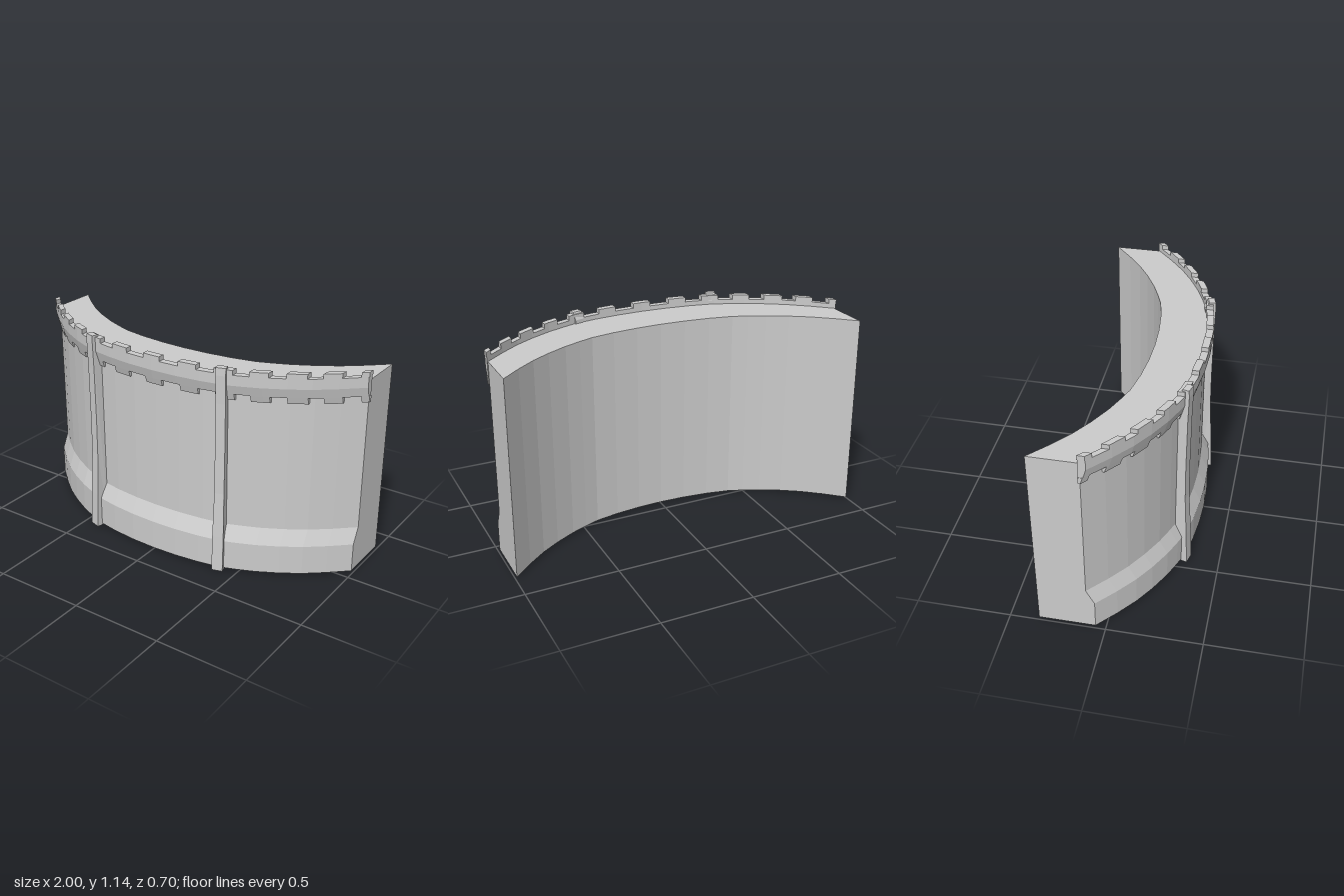
import * as THREE from 'three';

// Plan curve shared by all swept parts: how far z falls back at |x|
const CURVE = [[0, 0], [0.14, 0.005], [0.28, 0.02], [0.41, 0.045], [0.49, 0.075], [0.58, 0.113],
  [0.69, 0.172], [0.79, 0.236], [0.89, 0.316], [1, 0.415]];

function drop(x) {
  const a = Math.abs(x);
  const i = Math.max(1, CURVE.findIndex(([cx]) => cx >= a - 1e-9));
  const [[x0, d0], [x1, d1]] = [CURVE[i - 1], CURVE[i]];
  return d0 + (d1 - d0) * (a - x0) / (x1 - x0);
}

const material = new THREE.MeshStandardMaterial({ color: 0xcccccc, flatShading: true });

function profileShape(points) {
  return new THREE.Shape(points.map(([z, y]) => new THREE.Vector2(z, y)));
}

// Sweep a (z, y) profile along the plan curve from x0 to x1
function sweep(name, points, x0, x1) {
  const kinks = CURVE.flatMap(([x]) => (x ? [-x, x] : [0]));
  const stations = [x0, ...kinks.filter((x) => x > x0 + 1e-4 && x < x1 - 1e-4).sort((a, b) => a - b), x1];
  const steps = stations.length - 1;
  const geo = new THREE.ExtrudeGeometry(profileShape(points), { depth: 1, steps, bevelEnabled: false });
  geo.rotateY(-Math.PI / 2);
  const pos = geo.attributes.position;
  for (let i = 0; i < pos.count; i++) {
    const x = stations[Math.round((1 + pos.getX(i)) * steps)];
    pos.setX(i, x);
    pos.setZ(i, pos.getZ(i) - drop(x));
  }
  geo.computeVertexNormals();
  const mesh = new THREE.Mesh(geo, material);
  mesh.name = name;
  return mesh;
}

// Upright rib, its depth flaring at the foot, set square to the curve
function buttress(x) {
  const width = 0.052;
  const profile = [[-0.05, 0], [0.024, 0], [0.016, 0.2], [0.002, 0.45], [0, 0.65], [0.002, 0.95],
    [0.006, 1.1], [0.004, 1.14], [-0.03, 1.14], [-0.05, 1.1]];
  const geo = new THREE.ExtrudeGeometry(profileShape(profile), { depth: width, bevelEnabled: false });
  geo.rotateY(-Math.PI / 2);
  geo.translate(width / 2, 0, 0);
  // wider at the foot
  const pos = geo.attributes.position;
  for (let i = 0; i < pos.count; i++) {
    if (pos.getY(i) < 0.21) pos.setX(i, pos.getX(i) * 1.15);
  }
  geo.computeVertexNormals();
  const mesh = new THREE.Mesh(geo, material);
  mesh.name = 'buttress';
  mesh.position.set(x, 0, 0.312);
  mesh.rotation.y = Math.sign(x) * 0.27;
  return mesh;
}

export function createModel() {
  const model = new THREE.Group();
  model.name = 'curvedCastleWall';

  // Wall with sloped plinth
  model.add(sweep('wall', [[0.06, 0.01], [0.355, 0.01], [0.355, 0.172], [0.312, 0.255],
    [0.312, 1.08], [0.06, 1.08]], -0.992, 0.992));

  // Parapet band, its underside leaning out from the wall
  model.add(sweep('parapet', [[0.31, 1.0], [0.333, 1.0], [0.348, 1.05], [0.348, 1.105],
    [0.31, 1.105]], -0.998, 0.998));

  // Merlons above and corbels below, closing up towards the ends
  const teeth = new THREE.Group();
  teeth.name = 'battlements';
  const centres = [[0, 0.05], [0.21, 0.05], [0.4, 0.047], [0.565, 0.043], [0.725, 0.043], [0.865, 0.036], [0.985, 0.015]];
  for (const [c, half] of centres) {
    for (const side of c ? [-1, 1] : [1]) {
      const x0 = side * c - half, x1 = side * c + half;
      teeth.add(sweep('merlon', [[0.31, 1.105], [0.348, 1.105], [0.348, 1.13], [0.31, 1.13]], x0, x1));
      teeth.add(sweep('corbel', [[0.31, 0.965], [0.322, 0.965], [0.333, 1.0], [0.31, 1.0]], x0, x1));
    }
  }
  model.add(teeth);

  model.add(buttress(-0.422), buttress(0.396));
  return model;
}
